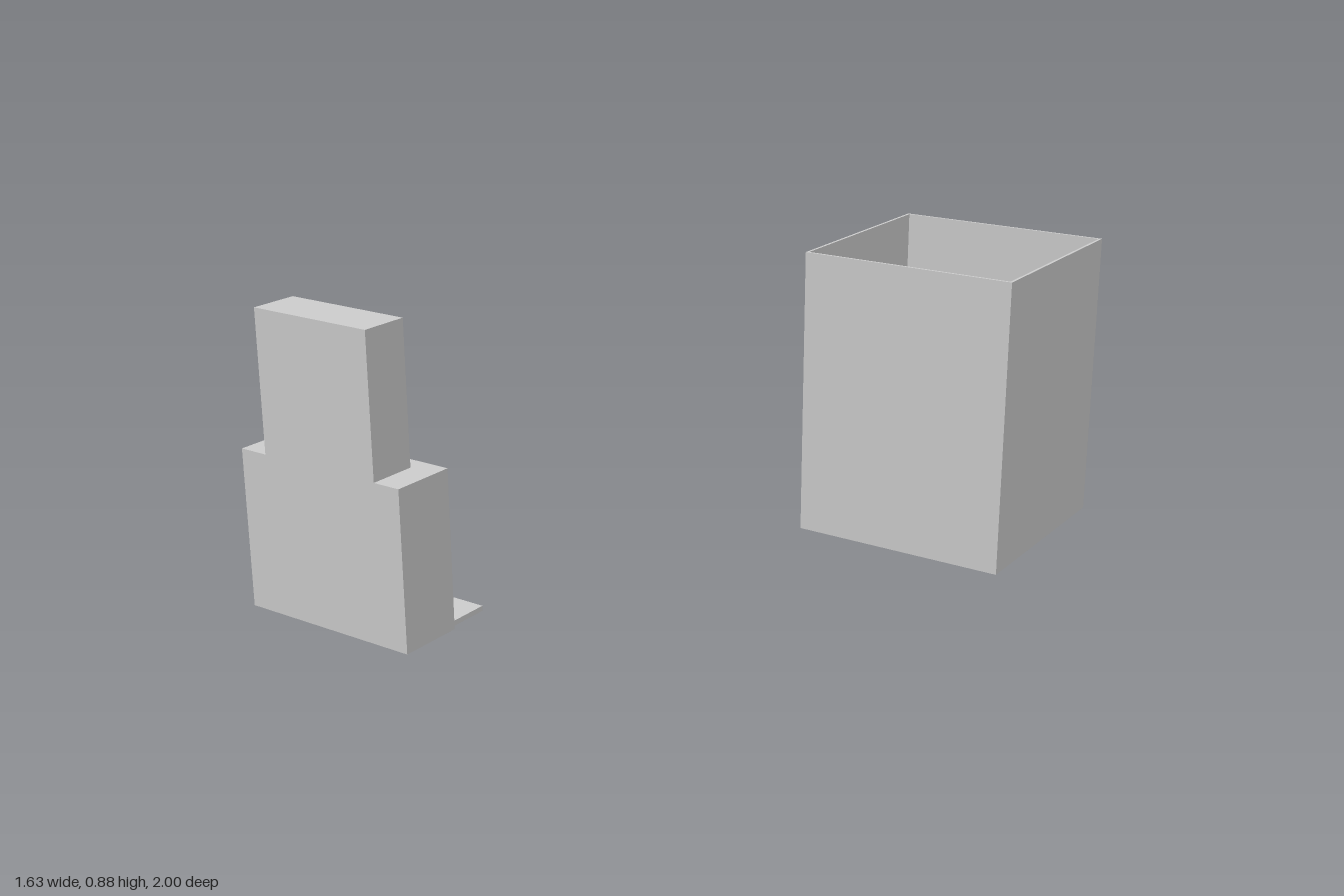
import * as THREE from 'three';

const material = new THREE.MeshStandardMaterial({ color: 0xcccccc });

function addMesh(parent, name, geometry) {
  const mesh = new THREE.Mesh(geometry, material);
  mesh.name = name;
  parent.add(mesh);
  return mesh;
}

// Box given by its minimum and maximum corners
function addBox(parent, name, [x0, y0, z0], [x1, y1, z1]) {
  const mesh = addMesh(parent, name, new THREE.BoxGeometry(x1 - x0, y1 - y0, z1 - z0));
  mesh.position.set((x0 + x1) / 2, (y0 + y1) / 2, (z0 + z1) / 2);
  return mesh;
}

// Upright panel with an opening that reaches the ground
function archGeometry(a0, a1, height, open0, open1, openHeight, depth) {
  const shape = new THREE.Shape([
    [a0, 0], [open0, 0], [open0, openHeight], [open1, openHeight],
    [open1, 0], [a1, 0], [a1, height], [a0, height],
  ].map(([x, y]) => new THREE.Vector2(x, y)));
  return new THREE.ExtrudeGeometry(shape, { depth, bevelEnabled: false });
}

function createRoom() {
  const room = new THREE.Group();
  room.name = 'room';
  const x0 = 0.155, x1 = 0.815, z0 = -1, z1 = -0.348, h = 0.875, t = 0.008;

  // Plain walls, open at top and bottom
  addBox(room, 'rearWall', [x0, 0, z0], [x1, h, z0 + t]);
  addBox(room, 'frontWall', [x0, 0, z1 - t], [x1, h, z1]);
  addBox(room, 'sideWall', [x1 - t, 0, z0 + t], [x1, h, z1 - t]);

  // Wall with the doorway, facing the fireplace side
  const door = archGeometry(z0 + t, z1 - t, h, -0.78, -0.41, 0.7, t);
  door.rotateY(-Math.PI / 2);
  addMesh(room, 'doorwayWall', door).position.x = x0 + t;
  return room;
}

function createFireplace() {
  const fireplace = new THREE.Group();
  fireplace.name = 'fireplace';

  // Surround with firebox opening, closed by a back panel
  const surround = archGeometry(-0.82, -0.25, 0.465, -0.715, -0.355, 0.34, 0.14);
  addMesh(fireplace, 'surround', surround).position.z = 0.81;
  addBox(fireplace, 'fireboxBack', [-0.82, 0, 0.95], [-0.25, 0.465, 1]);
  addBox(fireplace, 'chimneyBreast', [-0.73, 0.465, 0.86], [-0.335, 0.875, 1]);
  addBox(fireplace, 'mantel', [-0.75, 0.34, 0.793], [-0.315, 0.398, 0.81]);

  // Hearth slab, firebox floor and the raised grate on it
  addBox(fireplace, 'hearth', [-0.805, 0, 0.675], [-0.265, 0.015, 0.81]);
  addBox(fireplace, 'fireboxFloor', [-0.715, 0, 0.81], [-0.355, 0.015, 0.95]);
  addBox(fireplace, 'grate', [-0.645, 0.015, 0.834], [-0.425, 0.03, 0.938]);
  return fireplace;
}

export function createModel() {
  const model = new THREE.Group();
  model.name = 'roomAndFireplace';
  model.add(createRoom(), createFireplace());
  return model;
}
